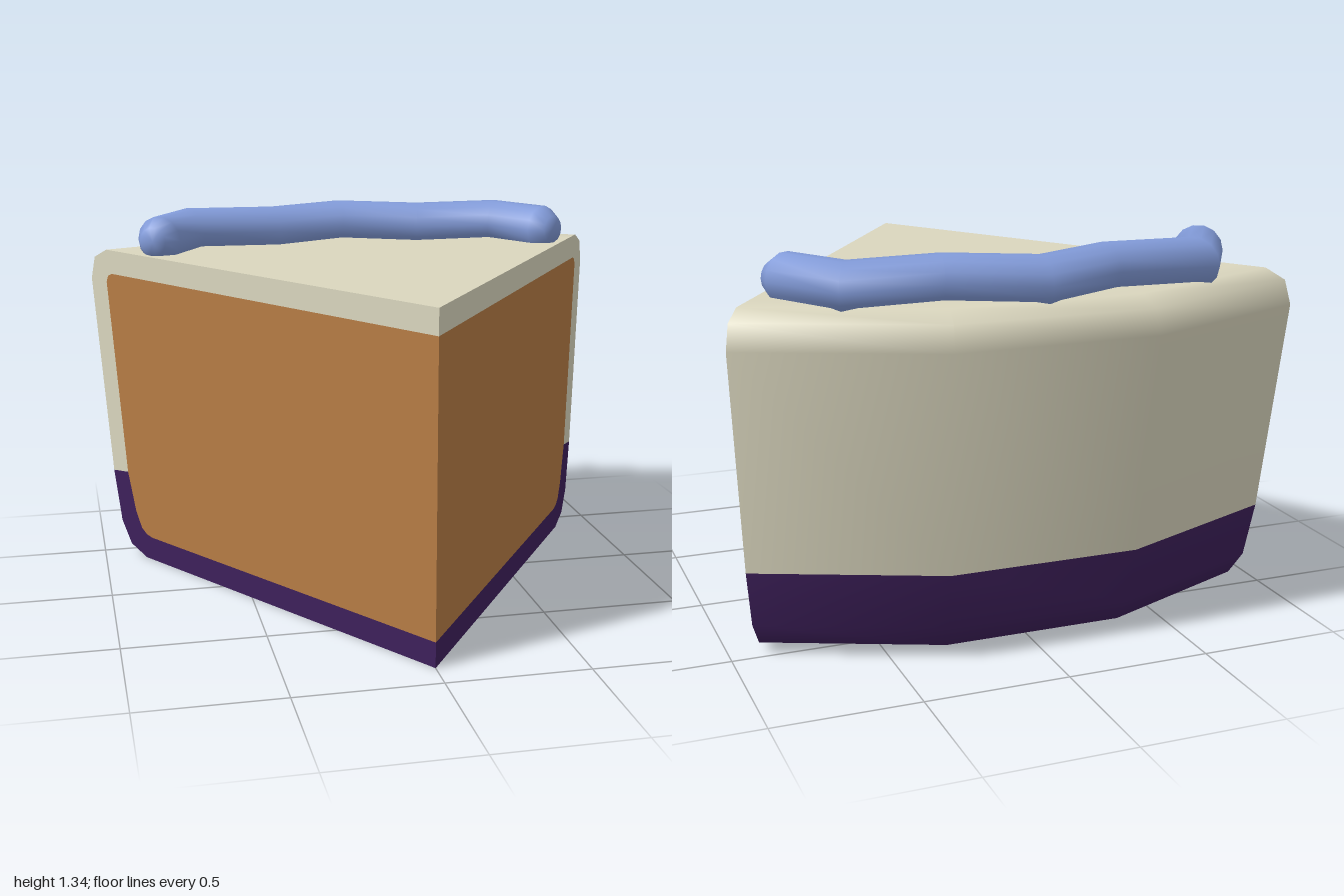
import * as THREE from 'three';

const HALF = THREE.MathUtils.degToRad(33.75); // half the wedge angle
const TIP_Z = 0.8826;

const makeMaterial = (name, color) => {
  const m = new THREE.MeshStandardMaterial({ color });
  m.name = name;
  return m;
};

// Outer profiles as [radius from tip, height]
const LOWER = [[0, 0], [1.45, 0], [1.52, 0], [1.615, 0.035], [1.67, 0.12], [1.71, 0.32]];
const UPPER = [[1.71, 0.32], [1.8, 1.08], [1.775, 1.165], [1.7, 1.2], [1.6, 1.2], [0, 1.2]];
// Edge of the filling, split where the base meets the icing
const INNER_LOWER = [[0, 0.09], [1.48, 0.09], [1.515, 0.097], [1.545, 0.117], [1.578, 0.18], [1.62, 0.33]];
const INNER_UPPER = [[1.62, 0.33], [1.705, 1.075], [1.695, 1.1], [1.67, 1.11], [0, 1.11]];

// Wedge of a turned profile, its middle pointing to the back
function shell(profile, material, name) {
  const points = profile.map(([r, y]) => new THREE.Vector2(r, y));
  const mesh = new THREE.Mesh(new THREE.LatheGeometry(points, 3, Math.PI - HALF, HALF * 2), material);
  mesh.name = name;
  return mesh;
}

// Flat region on one cut side (side = 1 left, -1 right)
function cutFace(outline, side, material, name) {
  const shape = new THREE.Shape(outline.map(([r, y]) => new THREE.Vector2(r * side, y)));
  const mesh = new THREE.Mesh(new THREE.ShapeGeometry(shape), material);
  mesh.rotation.y = side * (Math.PI / 2 - HALF);
  mesh.name = name;
  return mesh;
}

// Round piped strip with mitred bends and chamfered ends
function pipedStrip(path, radius, y, sides) {
  const pts = path.map(([x, z]) => new THREE.Vector2(x, z));
  const last = pts.length - 1;
  const rings = [];
  pts.forEach((p, i) => {
    const a = pts[Math.max(i - 1, 0)], b = pts[Math.min(i + 1, last)];
    const before = i > 0 ? p.clone().sub(a).normalize() : b.clone().sub(p).normalize();
    const after = i < last ? b.clone().sub(p).normalize() : before;
    const dir = before.clone().add(after).normalize();
    const normal = new THREE.Vector2(-dir.y, dir.x);
    const cap = (s, scale) => ({
      p: p.clone().addScaledVector(dir, s * 0.055), normal, wide: radius * scale, tall: radius * scale,
    });
    if (i === 0) rings.push(cap(-1, 0), cap(-1, 0.6));
    rings.push({ p, normal, wide: radius / dir.dot(before), tall: radius });
    if (i === last) rings.push(cap(1, 0.6), cap(1, 0));
  });
  const pos = [], index = [];
  rings.forEach(({ p, normal, wide, tall }, i) => {
    for (let j = 0; j < sides; j++) {
      const t = (j / sides) * Math.PI * 2;
      const w = Math.cos(t) * wide;
      pos.push(p.x + normal.x * w, y + Math.sin(t) * tall, p.y + normal.y * w);
      if (i === 0) continue;
      const k = (j + 1) % sides;
      const a = (i - 1) * sides + j, b = (i - 1) * sides + k, c = i * sides + j, d = i * sides + k;
      index.push(a, c, b, b, c, d);
    }
  });
  const geo = new THREE.BufferGeometry();
  geo.setAttribute('position', new THREE.Float32BufferAttribute(pos, 3));
  geo.setIndex(index);
  geo.computeVertexNormals();
  return geo;
}

export function createModel() {
  const cream = makeMaterial('cream icing', 0xdad6be);
  const brown = makeMaterial('brown filling', 0xb67c45);
  const purple = makeMaterial('purple base', 0x3e205b);
  const blue = makeMaterial('blue piping', 0x829bd9);

  const model = new THREE.Group();
  model.name = 'cakeSlice';

  const slice = new THREE.Group();
  slice.name = 'slice';
  slice.position.z = TIP_Z;
  slice.add(shell(LOWER, purple, 'base'), shell(UPPER, cream, 'icing'));

  // Cut sides: filling framed by base and icing
  const reversed = (list) => [...list].reverse();
  for (const side of [1, -1]) {
    const label = side > 0 ? 'left' : 'right';
    slice.add(
      cutFace([...INNER_LOWER, ...INNER_UPPER.slice(1)], side, brown, label + 'Filling'),
      cutFace([...LOWER, ...reversed(INNER_LOWER)], side, purple, label + 'BaseEdge'),
      cutFace([...UPPER, ...reversed(INNER_UPPER)], side, cream, label + 'IcingEdge'),
    );
  }
  model.add(slice);

  // Zigzag piping along the back of the top
  const half = [[-0.752, -0.385], [-0.615, -0.608], [-0.29, -0.59]];
  const path = [...half, [0, -0.73], ...reversed(half).map(([x, z]) => [-x, z])];
  const piping = new THREE.Mesh(pipedStrip(path, 0.088, 1.252, 14), blue);
  piping.name = 'piping';
  model.add(piping);
  return model;
}
